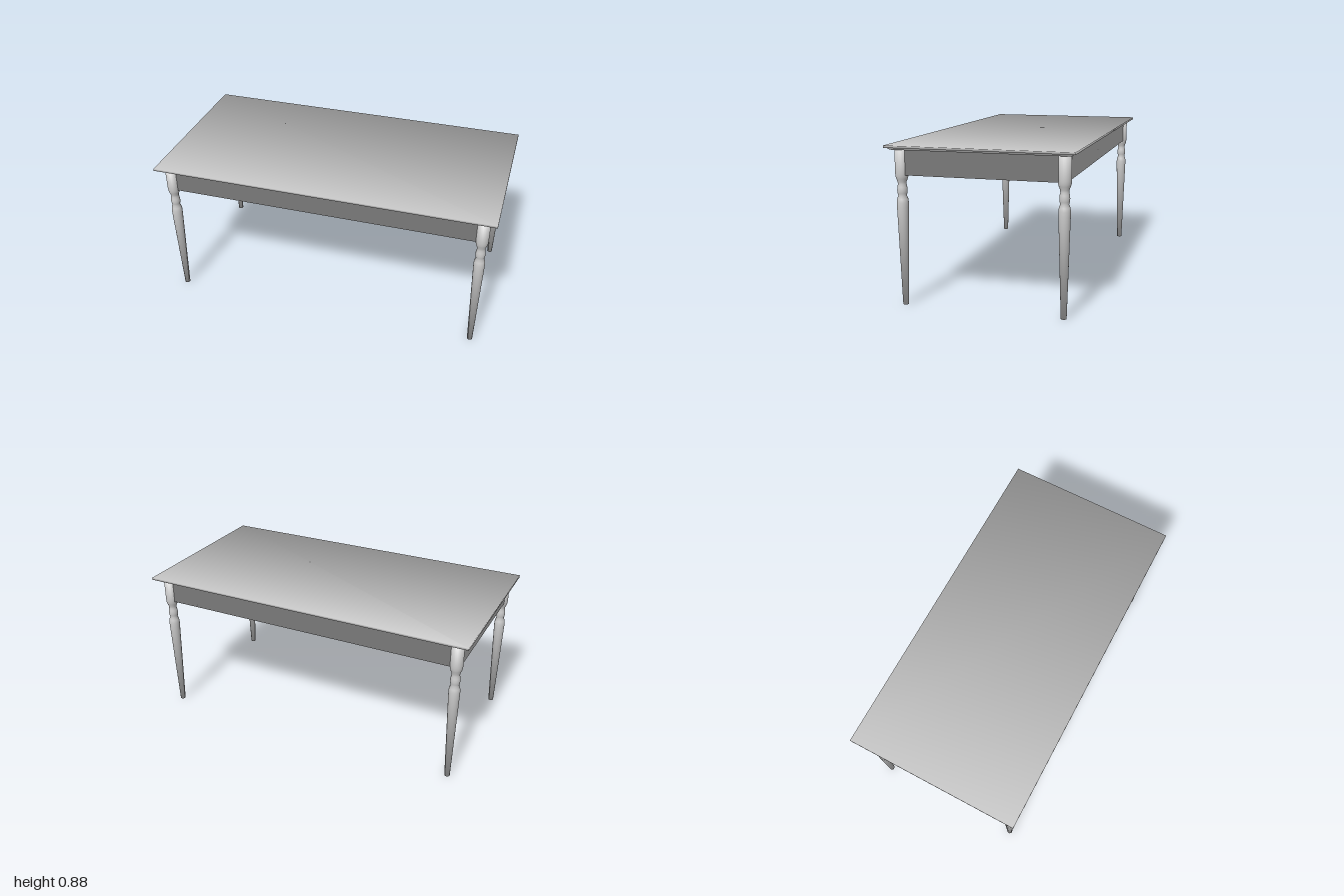
import * as THREE from 'three';

const material = new THREE.MeshStandardMaterial({ color: 0xcccccc, side: THREE.DoubleSide });

// Soft normal at each point of an [out, y] profile: the two neighbouring
// segments count equally, and the ends close towards the middle
function profileNormals(points, sign) {
  const segmentNormal = (a, b) => new THREE.Vector2(a[1] - b[1], b[0] - a[0]).normalize();
  return points.map((p, i) => {
    const inward = [p[0] - 1, p[1]];
    return segmentNormal(points[i - 1] ?? inward, p)
      .add(segmentNormal(p, points[i + 1] ?? inward))
      .multiplyScalar(sign);
  });
}

// Sweeps an [out, y] profile (top to bottom) round a rectangle, closing both ends
function rectangularSweep(halfWidth, halfDepth, profile) {
  const corners = [[1, 1], [1, -1], [-1, -1], [-1, 1]];
  const positions = [], normals = [], index = [];
  const quad = (a, b, c, d) => index.push(a, b, c, a, c, d);
  const soft = profileNormals(profile, 1);
  profile.forEach(([out, y], i) => {
    corners.forEach(([sx, sz], k) => {
      positions.push(sx * (halfWidth + out), y, sz * (halfDepth + out));
      normals.push(...new THREE.Vector3(sx * soft[i].x, soft[i].y, sz * soft[i].x).normalize());
      const n = (k + 1) % 4, upper = 4 * (i - 1), lower = 4 * i;
      if (i > 0) quad(lower + k, lower + n, upper + n, upper + k);
    });
  });
  const last = 4 * (profile.length - 1);
  quad(0, 1, 2, 3);
  quad(last + 3, last + 2, last + 1, last);
  const geometry = new THREE.BufferGeometry();
  geometry.setAttribute('position', new THREE.Float32BufferAttribute(positions, 3));
  geometry.setAttribute('normal', new THREE.Float32BufferAttribute(normals, 3));
  geometry.setIndex(index);
  return geometry;
}

// Turned shape from an [radius, y] profile (bottom to top) with soft normals
function turned(profile, sides) {
  const geometry = new THREE.LatheGeometry(profile.map(([r, y]) => new THREE.Vector2(r, y)), sides);
  const soft = profileNormals(profile, -1);
  const normal = geometry.attributes.normal;
  for (let v = 0; v < normal.count; v++) {
    const angle = Math.floor(v / profile.length) / sides * Math.PI * 2;
    const s = soft[v % profile.length];
    const n = new THREE.Vector3(s.x * Math.sin(angle), s.y, s.x * Math.cos(angle)).normalize();
    normal.setXYZ(v, n.x, n.y, n.z);
  }
  return geometry;
}

export function createModel() {
  const table = new THREE.Group();
  table.name = 'diningTable';
  const add = (name, geometry, x = 0, z = 0) => {
    const mesh = new THREE.Mesh(geometry, material);
    mesh.name = name;
    mesh.position.set(x, 0, z);
    table.add(mesh);
  };

  // Board, stepped moulding, apron and hollow underside in one softly shaded shell
  add('tableTopWithApron', rectangularSweep(1, 0.513, [
    [0, 0.883], [0, 0.87],
    [-0.016, 0.87], [-0.016, 0.866], [-0.026, 0.858],
    [-0.055, 0.858], [-0.055, 0.72],
    [-0.07, 0.72], [-0.07, 0.858],
  ]));

  // Turned legs: tapered shaft, bead between two necks, plain round head
  const legGeometry = turned([
    [0, 0], [0.0155, 0], [0.0315, 0.545], [0.032, 0.57],
    [0.0295, 0.59], [0.0225, 0.608], [0.026, 0.62], [0.0278, 0.637], [0.026, 0.655], [0.0225, 0.67],
    [0.024, 0.683], [0.031, 0.7], [0.034, 0.712], [0.0355, 0.727], [0.0355, 0.86],
  ], 24);
  for (const [z, end] of [[0.446, 'front'], [-0.443, 'back']]) {
    for (const [sx, side] of [[1, 'Left'], [-1, 'Right']]) {
      add(`${end}${side}Leg`, legGeometry, sx * 0.924, z);
    }
  }
  return table;
}
